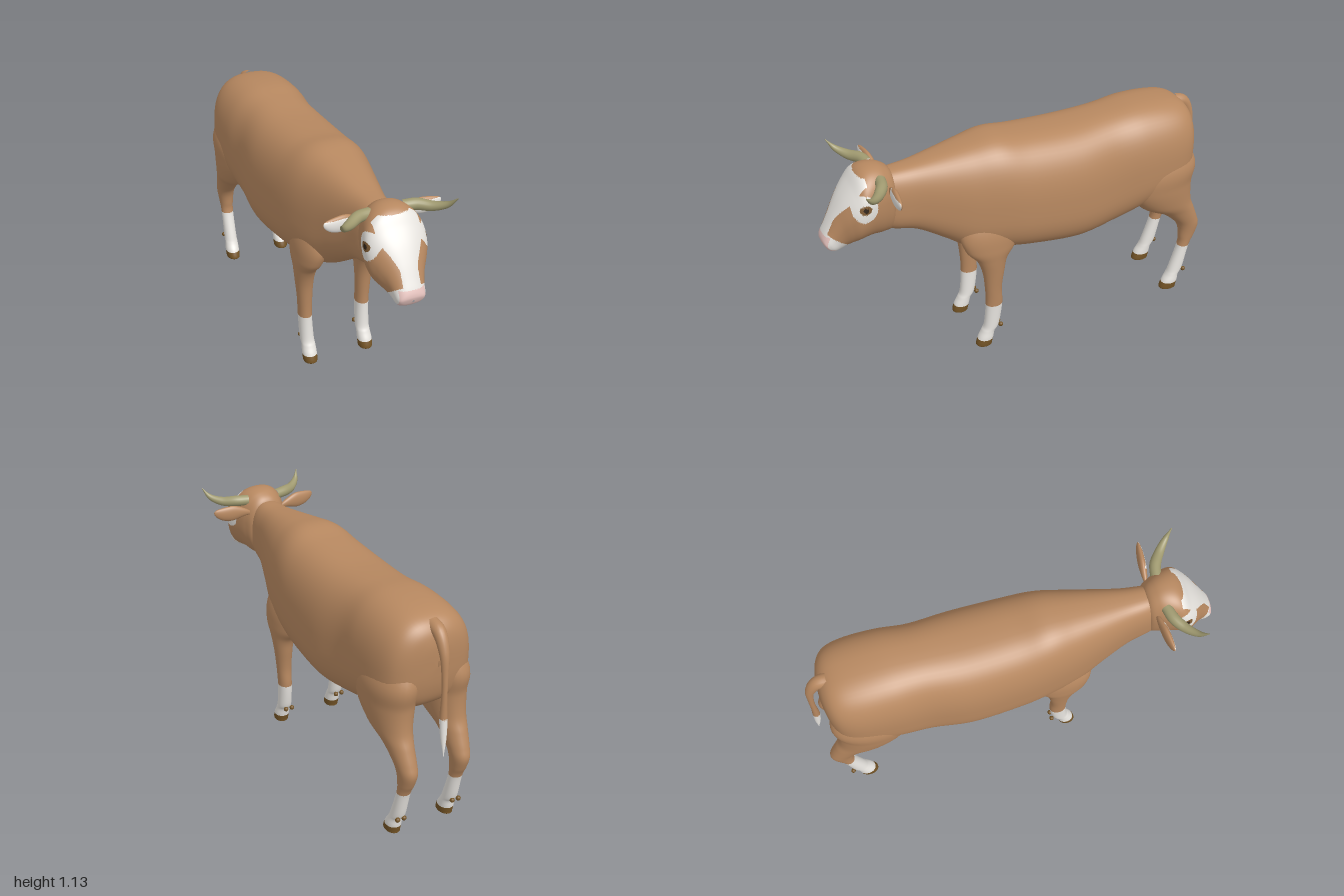
import * as THREE from 'three';

const mat = (name, color) => {
  const m = new THREE.MeshStandardMaterial({ color });
  m.name = name;
  return m;
};
const hide = mat('brown hide', 0xb78860);
const white = mat('white hair', 0xe6e3de);
const pink = mat('pink nose', 0xe6c3be);
const udderSkin = mat('udder skin', 0xc6a4a6);
const horn = mat('horn', 0xa09a70);
const hoof = mat('hoof', 0x745426);
const iris = mat('eye brown', 0x7d5a34);
const pupil = mat('pupil', 0x33261a);

// Catmull-Rom through rows of numbers
function rowAt(rows, t) {
  const n = rows.length - 1, i = Math.min(Math.floor(t), n - 1), f = t - i;
  const [a, b, c, d] = [rows[Math.max(i - 1, 0)], rows[i], rows[i + 1], rows[Math.min(i + 2, n)]];
  return b.map((v, k) => v + 0.5 * f * (c[k] - a[k]
    + f * (2 * a[k] - 5 * v + 4 * c[k] - d[k] + f * (3 * (v - c[k]) + d[k] - a[k]))));
}

// Skin over cross-sections [topZ, topY, bottomZ, bottomY, halfWidth, centreX]
// k: height of the widest point, n: squareness of the section
function loft(rows, steps, segs, k, n) {
  const pos = [], idx = [], rings = (rows.length - 1) * steps;
  const pow = (v) => Math.sign(v) * Math.abs(v) ** (2 / n);
  for (let i = 0; i <= rings; i++) {
    const [tz, ty, bz, by, w, cx = 0] = rowAt(rows, i / steps);
    const mz = bz + (tz - bz) * k, my = by + (ty - by) * k;
    for (let j = 0; j < segs; j++) {
      const a = (j / segs) * Math.PI * 2, v = pow(Math.sin(a));
      const dz = v > 0 ? tz - mz : mz - bz, dy = v > 0 ? ty - my : my - by;
      pos.push(cx + Math.max(w, 0.001) * pow(Math.cos(a)), my + v * dy, mz + v * dz);
      if (i === rings) continue;
      const p = i * segs + j, q = i * segs + (j + 1) % segs;
      idx.push(p, q, p + segs, q, q + segs, p + segs);
    }
  }
  const g = new THREE.BufferGeometry();
  g.setAttribute('position', new THREE.Float32BufferAttribute(pos, 3));
  g.setIndex(idx);
  g.computeVertexNormals();
  return g;
}

// Sort triangles into material groups; rule(centre, normal) gives a material
function paint(name, g, rule) {
  const p = g.attributes.position, ix = g.index.array, buckets = new Map();
  const tri = new THREE.Triangle(), c = new THREE.Vector3(), nrm = new THREE.Vector3();
  for (let i = 0; i < ix.length; i += 3) {
    tri.setFromAttributeAndIndices(p, ix[i], ix[i + 1], ix[i + 2]);
    const m = rule(tri.getMidpoint(c), tri.getNormal(nrm));
    if (!buckets.has(m)) buckets.set(m, []);
    buckets.get(m).push(ix[i], ix[i + 1], ix[i + 2]);
  }
  const all = [], mats = [...buckets.keys()];
  g.clearGroups();
  mats.forEach((m, i) => {
    g.addGroup(all.length, buckets.get(m).length, i);
    for (const v of buckets.get(m)) all.push(v);
  });
  g.setIndex(all);
  return named(name, g, mats);
}

function named(name, g, m) {
  const mesh = new THREE.Mesh(g, m);
  mesh.name = name;
  return mesh;
}

// Tube whose radius follows a list of values
function taper(points, radii, steps, segs) {
  const curve = new THREE.CatmullRomCurve3(points.map((p) => new THREE.Vector3(...p)));
  const g = new THREE.TubeGeometry(curve, steps, 1, segs), p = g.attributes.position;
  const rows = radii.map((r) => [r]), v = new THREE.Vector3();
  for (let i = 0; i < p.count; i++) {
    const t = Math.floor(i / (segs + 1)) / steps, c = curve.getPointAt(t);
    const r = Math.max(rowAt(rows, t * (radii.length - 1))[0], 0.001);
    v.fromBufferAttribute(p, i).sub(c).multiplyScalar(r).add(c);
    p.setXYZ(i, v.x, v.y, v.z);
  }
  return g;
}

const bodyRows = [
  [-0.925, 0.91, -0.925, 0.88, 0.005], [-0.922, 0.99, -0.915, 0.78, 0.09],
  [-0.9, 1.055, -0.89, 0.7, 0.165], [-0.85, 1.097, -0.84, 0.65, 0.212],
  [-0.75, 1.118, -0.75, 0.6, 0.235], [-0.6, 1.125, -0.6, 0.56, 0.238],
  [-0.45, 1.112, -0.45, 0.515, 0.23], [-0.25, 1.102, -0.25, 0.49, 0.248],
  [0, 1.115, 0, 0.515, 0.24], [0.15, 1.135, 0.15, 0.54, 0.222],
  [0.28, 1.118, 0.3, 0.572, 0.19], [0.42, 1.095, 0.42, 0.65, 0.15],
  [0.55, 1.076, 0.55, 0.73, 0.112], [0.66, 1.068, 0.66, 0.76, 0.092],
  [0.74, 1.05, 0.74, 0.79, 0.06],
];
const headRows = [
  [0.645, 0.96, 0.655, 0.9, 0.005], [0.645, 1.06, 0.662, 0.772, 0.085],
  [0.69, 1.105, 0.71, 0.757, 0.115], [0.75, 1.117, 0.77, 0.763, 0.135],
  [0.805, 1.1, 0.81, 0.762, 0.146], [0.85, 1.045, 0.84, 0.757, 0.141],
  [0.895, 0.985, 0.865, 0.748, 0.118], [0.935, 0.92, 0.89, 0.735, 0.092],
  [0.97, 0.855, 0.91, 0.724, 0.076], [0.993, 0.81, 0.945, 0.718, 0.068],
  [1.0, 0.785, 0.977, 0.735, 0.052], [0.997, 0.768, 0.993, 0.757, 0.005],
];
// Leg rows: height, front z, back z, centre x, half width
const foreRows = [
  [0.85, 0.28, 0.1, 0.1, 0.05], [0.7, 0.36, 0.06, 0.128, 0.075], [0.6, 0.345, 0.085, 0.15, 0.064],
  [0.53, 0.29, 0.135, 0.158, 0.052], [0.45, 0.262, 0.152, 0.159, 0.043], [0.35, 0.25, 0.165, 0.157, 0.036],
  [0.25, 0.247, 0.162, 0.155, 0.033], [0.13, 0.257, 0.18, 0.152, 0.034], [0.09, 0.272, 0.203, 0.151, 0.034],
  [0.055, 0.29, 0.212, 0.152, 0.036], [0.02, 0.302, 0.22, 0.152, 0.035], [0.007, 0.298, 0.224, 0.152, 0.03],
  [0.003, 0.265, 0.25, 0.152, 0.004],
];
const hindRows = [
  [0.97, -0.64, -0.84, 0.09, 0.07], [0.8, -0.55, -0.918, 0.13, 0.108], [0.68, -0.54, -0.903, 0.137, 0.104],
  [0.57, -0.625, -0.91, 0.142, 0.083], [0.5, -0.75, -0.937, 0.143, 0.061], [0.43, -0.83, -0.965, 0.141, 0.049],
  [0.38, -0.862, -0.978, 0.14, 0.043], [0.32, -0.872, -0.96, 0.14, 0.036], [0.26, -0.87, -0.932, 0.141, 0.032],
  [0.13, -0.828, -0.903, 0.143, 0.033], [0.09, -0.812, -0.88, 0.144, 0.034], [0.055, -0.79, -0.874, 0.146, 0.036],
  [0.02, -0.775, -0.868, 0.146, 0.035], [0.007, -0.779, -0.864, 0.146, 0.03], [0.003, -0.81, -0.83, 0.146, 0.004],
];

function headColour({ x, y, z }) {
  const ax = Math.abs(x);
  const eye = (rz, ry) => ax > 0.09 && Math.hypot((z - 0.815) / rz, (y - 0.968) / ry) < 1;
  if (eye(0.013, 0.012)) return pupil;
  if (eye(0.028, 0.022)) return iris;
  if (eye(0.06, 0.065)) return white;
  if (0.6 * z - 0.8 * y > -0.075) {
    return z > 0.95 && y > 0.733 && y < 0.815 && ax < 0.062 ? pink : white;
  }
  const blaze = 0.042 + 0.066 * THREE.MathUtils.smoothstep(y, 0.88, 1.03);
  return z > 0.79 && y > 0.78 && y < 1.092 && ax < blaze ? white : hide;
}

function makeLeg(name, rows, side, sockTop, clawZ) {
  const leg = new THREE.Group();
  leg.name = name;
  const sections = rows.map(([y, f, b, cx, w]) => [f, y, b, y, w, cx * side]);
  leg.add(paint('limb', loft(sections, 8, 32, 0.5, 2.1),
    (c) => (c.y < 0.046 ? hoof : c.y < sockTop ? white : hide)));
  // Dewclaws
  for (const dx of [-0.017, 0.017]) {
    const claw = named('dewclaw', new THREE.SphereGeometry(0.012, 12, 8), hoof);
    claw.position.set(side * 0.15 + dx, 0.112, clawZ);
    leg.add(claw);
  }
  return leg;
}

function makeEar(side) {
  // Leaf shape: length runs along x, thin in z, drooping lower edge
  const g = new THREE.SphereGeometry(1, 40, 28).rotateZ(Math.PI / 2), p = g.attributes.position;
  for (let i = 0; i < p.count; i++) {
    const u = p.getX(i) * side, x = 0.185 + 0.1 * u;
    const wide = 0.026 + 0.014 * THREE.MathUtils.smoothstep(u, -0.8, 0.1);
    p.setXYZ(i, side * x, 1.028 + 0.014 * u * u * u + p.getY(i) * wide, 0.688 + 0.01 * u + p.getZ(i) * 0.018);
  }
  g.computeVertexNormals();
  return paint(side > 0 ? 'leftEar' : 'rightEar', g,
    (c, n) => (n.z > 0.15 && c.y < 1.055 && Math.abs(c.x) > 0.14 ? white : hide));
}

export function createModel() {
  const cow = new THREE.Group();
  cow.name = 'cow';
  cow.add(named('body', loft(bodyRows, 6, 64, 0.4, 2.6), hide));
  cow.add(paint('head', loft(headRows, 10, 160, 0.55, 2.25), headColour));

  const udder = named('udder', new THREE.SphereGeometry(1, 32, 20), udderSkin);
  udder.scale.set(0.105, 0.06, 0.145);
  udder.position.set(0, 0.53, -0.44);
  udder.rotation.x = 0.15;
  cow.add(udder);

  for (const side of [1, -1]) {
    const label = side > 0 ? 'left' : 'right';
    cow.add(makeLeg(label + 'Foreleg', foreRows, side, 0.248, 0.174));
    cow.add(makeLeg(label + 'HindLeg', hindRows, side, 0.262, -0.9));
    cow.add(makeEar(side));
    const path = [[0.08, 1.068, 0.72], [0.14, 1.07, 0.735], [0.2, 1.066, 0.775], [0.25, 1.085, 0.82], [0.277, 1.125, 0.855]];
    cow.add(named(label + 'Horn',
      taper(path.map(([x, y, z]) => [x * side, y, z]), [0.026, 0.027, 0.023, 0.015, 0.002], 32, 20), horn));
  }

  // Tail with a pale tuft
  const tail = taper([[0, 1.06, -0.86], [0, 1.045, -0.915], [0, 0.97, -0.957], [0, 0.85, -0.973],
    [0, 0.65, -0.978], [0, 0.46, -0.993]], [0.035, 0.028, 0.019, 0.014, 0.014, 0.018, 0.014, 0.002], 64, 20);
  cow.add(paint('tail', tail, (c) => (c.y < 0.65 ? white : hide)));
  return cow;
}
